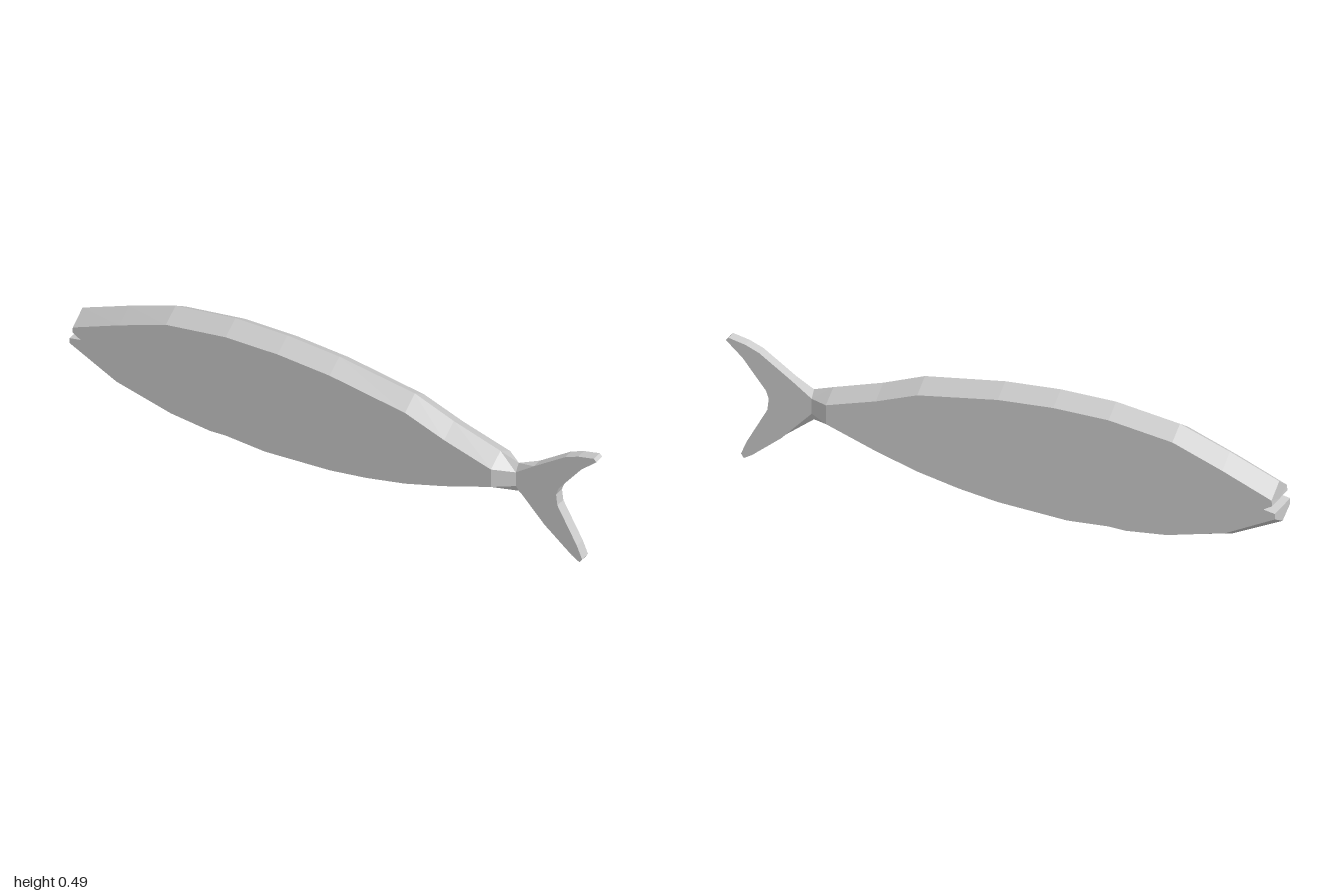
import * as THREE from 'three';

// Rows run counter-clockwise round an outline: [x, y at the flank, y at the centre plane, half width]
const BODY_W = 0.062, TAIL_W = 0.019;
const withWidth = (w, rows) => rows.map(([x, y, mid = y]) => [x, y, mid, w]);

// Flat flanks plus a ridged rim; the rim is left open where parts join (skipped edges)
function slab(rows, skipped) {
  const pos = [];
  const tri = (a, b, c) => {
    pos.push(...a, ...b, ...c);
    const m = (p) => [p[0], p[1], -p[2]];
    pos.push(...m(a), ...m(c), ...m(b));
  };
  const side = rows.map(([x, y, , w]) => [x, y, w]);
  const centre = rows.map(([x, , mid]) => [x, mid, 0]);
  const contour = rows.map(([x, y]) => new THREE.Vector2(x, y));
  for (const [a, b, c] of THREE.ShapeUtils.triangulateShape(contour, [])) tri(side[a], side[b], side[c]);
  rows.forEach((_, i) => {
    if (skipped.includes(i)) return;
    const j = (i + 1) % rows.length;
    tri(side[i], centre[i], centre[j]);
    tri(side[i], centre[j], side[j]);
  });
  const geometry = new THREE.BufferGeometry();
  geometry.setAttribute('position', new THREE.Float32BufferAttribute(pos, 3));
  geometry.computeVertexNormals();
  return geometry;
}

export function createModel() {
  const group = new THREE.Group();
  group.name = 'fish';
  const grey = new THREE.MeshStandardMaterial({ color: 0xcccccc, flatShading: true });
  grey.name = 'light grey';
  const add = (name, geometry) => {
    const mesh = new THREE.Mesh(geometry, grey);
    mesh.name = name;
    group.add(mesh);
  };

  // Body: back, mouth notch, belly
  const body = withWidth(BODY_W, [
    [0.62, 0.287, 0.325], [0.44, 0.34, 0.38], [0.29, 0.395, 0.437], [0, 0.44, 0.48],
    [-0.2, 0.453, 0.493], [-0.4, 0.45, 0.49], [-0.63, 0.417, 0.457], [-0.81, 0.35, 0.392],
    [-0.988, 0.277, 0.32],
    [-0.99, 0.257], [-0.958, 0.238], [-1, 0.23],
    [-1, 0.21, 0.175], [-0.82, 0.12, 0.09], [-0.61, 0.068, 0.04], [-0.46, 0.052, 0.021],
    [-0.4, 0.055, 0.025], [-0.25, 0.045, 0.012], [0, 0.06, 0.03], [0.14, 0.08, 0.048],
    [0.29, 0.111, 0.08], [0.44, 0.155, 0.122], [0.62, 0.217, 0.187],
  ]);
  add('body', slab(body, [body.length - 1]));

  // Tail root: narrows from the body to the fin
  const rootTop = [0.69, 0.275, 0.302, TAIL_W], rootBottom = [0.69, 0.22, 0.19, TAIL_W];
  add('tailRoot', slab([rootTop, body[0], body[body.length - 1], rootBottom], [1, 3]));

  // Forked tail fin
  const fin = [rootBottom, ...withWidth(TAIL_W, [
    [0.8, 0.105], [0.905, 0.02], [0.935, 0.002], [0.945, 0.017], [0.925, 0.065],
    [0.85, 0.2], [0.845, 0.242], [0.855, 0.27], [0.94, 0.375], [1, 0.428],
    [0.99, 0.438], [0.93, 0.425], [0.88, 0.405], [0.76, 0.325],
  ]), rootTop];
  add('tailFin', slab(fin, [fin.length - 1]));

  return group;
}
